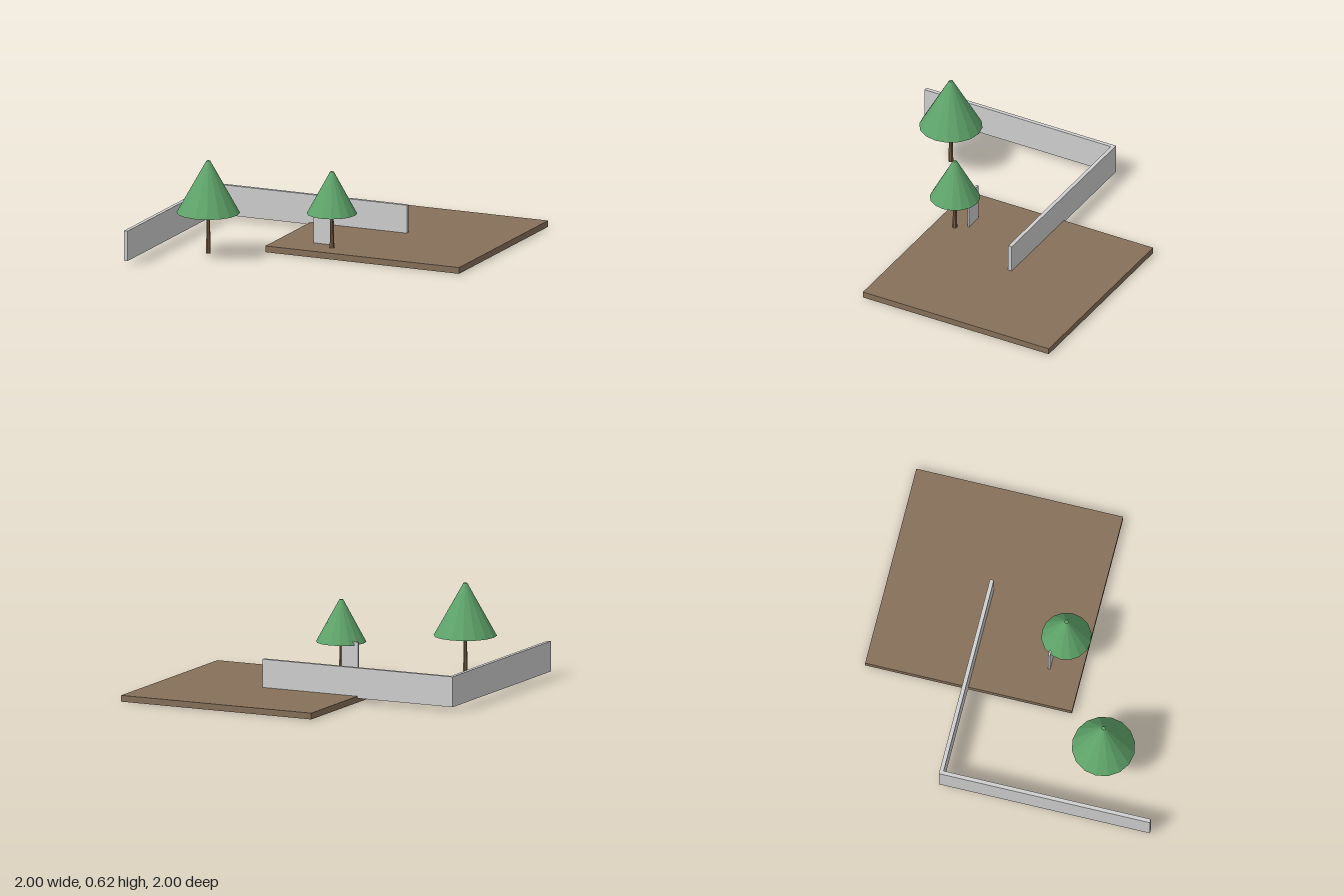
import * as THREE from 'three';

const mat = (name, color, flat = false) => {
  const m = new THREE.MeshStandardMaterial({ color, flatShading: flat });
  m.name = name;
  return m;
};

export function createModel() {
  const model = new THREE.Group();
  model.name = 'gardenYard';
  const wood = mat('deck brown', 0x86705a);
  const stone = mat('wall grey', 0xd0d0d0);
  const bark = mat('bark brown', 0x80664c, true);
  const leaf = mat('leaf green', 0x5fa46a, true);

  // Box given by its lower and upper corners
  const box = (name, material, [x0, y0, z0], [x1, y1, z1]) => {
    const mesh = new THREE.Mesh(new THREE.BoxGeometry(x1 - x0, y1 - y0, z1 - z0), material);
    mesh.position.set((x0 + x1) / 2, (y0 + y1) / 2, (z0 + z1) / 2);
    mesh.name = name;
    model.add(mesh);
  };

  // Square deck, L-shaped wall and a small upright panel
  box('deck', wood, [-0.333, 0, -1], [1, 0.04, 0.333]);
  box('backWall', stone, [-1, 0.027, -0.36], [0.333, 0.22, -0.335]);
  box('sideWall', stone, [-1, 0.027, -0.335], [-0.975, 0.22, 1]);
  box('panel', stone, [-0.095, 0.027, 0.12], [0.022, 0.283, 0.133]);

  // Tree: trunk flared at the foot under a truncated faceted cone
  const tree = (name, x, z, crownBase, crownTop, radius) => {
    const group = new THREE.Group();
    group.name = name;
    group.position.set(x, 0, z);
    const profile = [[0, 0.027], [0.016, 0.027], [0.0125, 0.18], [0.01, crownBase + 0.02], [0, crownBase + 0.02]];
    const trunk = new THREE.Mesh(
      new THREE.LatheGeometry(profile.map(([r, y]) => new THREE.Vector2(r, y)), 8), bark);
    trunk.name = 'trunk';
    const crown = new THREE.Mesh(
      new THREE.CylinderGeometry(0.012, radius, crownTop - crownBase, 16), leaf);
    crown.position.y = (crownBase + crownTop) / 2;
    crown.name = 'crown';
    group.add(trunk, crown);
    model.add(group);
  };
  tree('largeTree', -0.602, 0.602, 0.29, 0.623, 0.199);
  tree('smallTree', 0.064, 0.199, 0.262, 0.53, 0.158);

  return model;
}
